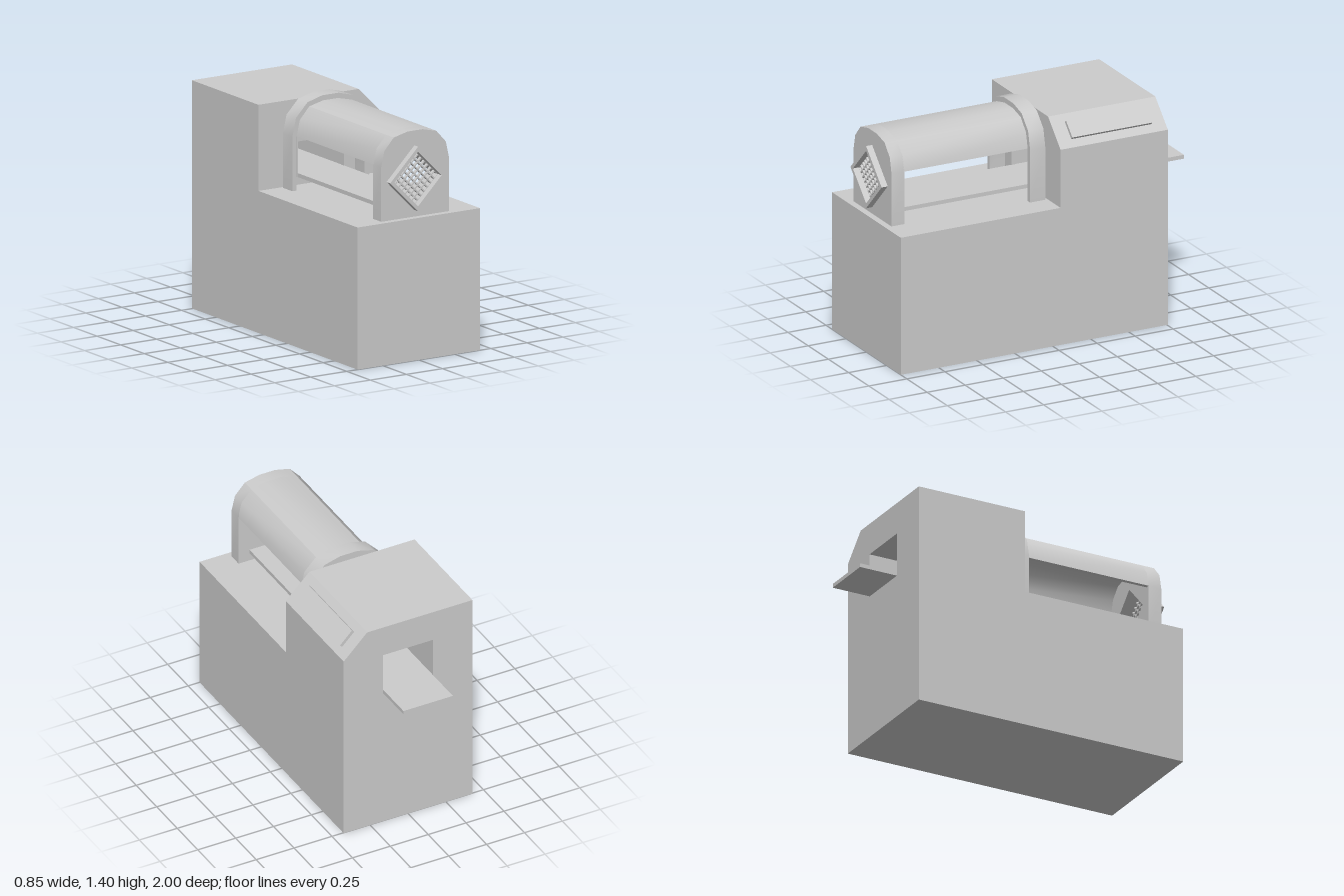
import * as THREE from 'three';
import { toCreasedNormals } from 'three/addons/utils/BufferGeometryUtils.js';

const grey = new THREE.MeshStandardMaterial({ color: 0xcccccc });

function add(parent, name, geometry, x = 0, y = 0, z = 0) {
  const mesh = new THREE.Mesh(geometry, grey);
  mesh.name = name;
  mesh.position.set(x, y, z);
  parent.add(mesh);
  return mesh;
}

// Box given by its extents
function box(parent, name, x0, x1, y0, y1, z0, z1) {
  return add(parent, name, new THREE.BoxGeometry(x1 - x0, y1 - y0, z1 - z0),
    (x0 + x1) / 2, (y0 + y1) / 2, (z0 + z1) / 2);
}

const pts = (list) => list.map(([x, y]) => new THREE.Vector2(x, y));

// Extrude an outline, with optional holes, from z0 to z1
function slab(parent, name, outline, z0, z1, holes = []) {
  const shape = new THREE.Shape(pts(outline));
  for (const h of holes) shape.holes.push(new THREE.Path(pts(h)));
  const g = new THREE.ExtrudeGeometry(shape, { depth: z1 - z0, bevelEnabled: false });
  return add(parent, name, toCreasedNormals(g, 0.6), 0, 0, z0);
}

// Faceted arch, from the right foot over the top to the left foot
function arch(half, foot) {
  const right = half.map(([x, y]) => [x, y]);
  if (foot !== undefined) right.unshift([half[0][0], foot]);
  return [...right, ...right.map(([x, y]) => [-x, y]).reverse()];
}

const collarArc = [[0.265, 1.175], [0.24, 1.285], [0.16, 1.368], [0.057, 1.396]];
const drumArc = [[0.235, 1.175], [0.213, 1.27], [0.148, 1.342], [0.052, 1.365]];
const innerArc = [[0.21, 1.175], [0.19, 1.255], [0.132, 1.318], [0.046, 1.338]];

export function createModel() {
  const model = new THREE.Group();
  model.name = 'conveyorMachine';
  const floor = 0.85;

  box(model, 'base', -0.425, 0.425, 0, floor, -0.755, 1);

  // Rear housing with a chamfered shoulder and a through tunnel
  slab(model, 'housing',
    [[-0.425, floor], [0.425, floor], [0.425, 1.21], [0.27, 1.365], [-0.425, 1.365]],
    -0.755, -0.05,
    [[[-0.165, 0.9], [-0.165, 1.17], [0.165, 1.17], [0.165, 0.9]]]);

  // Lip around the tunnel mouth
  slab(model, 'tunnelLip',
    [[-0.165, 0.9], [0.165, 0.9], [0.165, 1.17], [-0.165, 1.17]], -0.065, -0.037,
    [[[-0.16, 0.915], [-0.16, 1.112], [0.16, 1.112], [0.16, 0.915]]]);

  // Control panel on the shoulder
  const panel = add(model, 'controlPanel', new THREE.BoxGeometry(0.112, 0.024, 0.525),
    0.353, 1.293, -0.403);
  panel.rotation.z = -Math.PI / 4;

  box(model, 'conveyorBed', -0.163, 0.163, 0.9, 0.924, -1, 0.88);

  // Collar arch, open below
  slab(model, 'collar', [...arch(collarArc, floor), ...arch(drumArc, floor).reverse()],
    -0.035, 0.065);

  // Curved hood over the bed
  slab(model, 'hood', [...arch(drumArc), ...arch(innerArc).reverse()], -0.03, 0.88);

  // Front end plate with a diamond window
  const cx = -0.005, cy = 1.083;
  const diamond = (r) => [[cx + r, cy], [cx, cy + r], [cx - r, cy], [cx, cy - r]];
  slab(model, 'endPlate', arch(drumArc, floor), 0.875, 0.96, [diamond(0.16)]);
  slab(model, 'windowFrame', diamond(0.193), 0.96, 1, [diamond(0.163)]);

  // Lattice parallel to the frame
  const grille = new THREE.Group();
  grille.name = 'grille';
  grille.position.set(cx, cy, 0.955);
  grille.rotation.z = Math.PI / 4;
  model.add(grille);
  const side = 0.16 * Math.SQRT2, bars = 6;
  for (let i = 1; i <= bars; i++) {
    const p = (i / (bars + 1) - 0.5) * side;
    add(grille, 'grilleBar', new THREE.BoxGeometry(0.008, side, 0.02), p, 0, 0);
    add(grille, 'grilleBar', new THREE.BoxGeometry(side, 0.008, 0.018), 0, p, 0);
  }

  return model;
}
